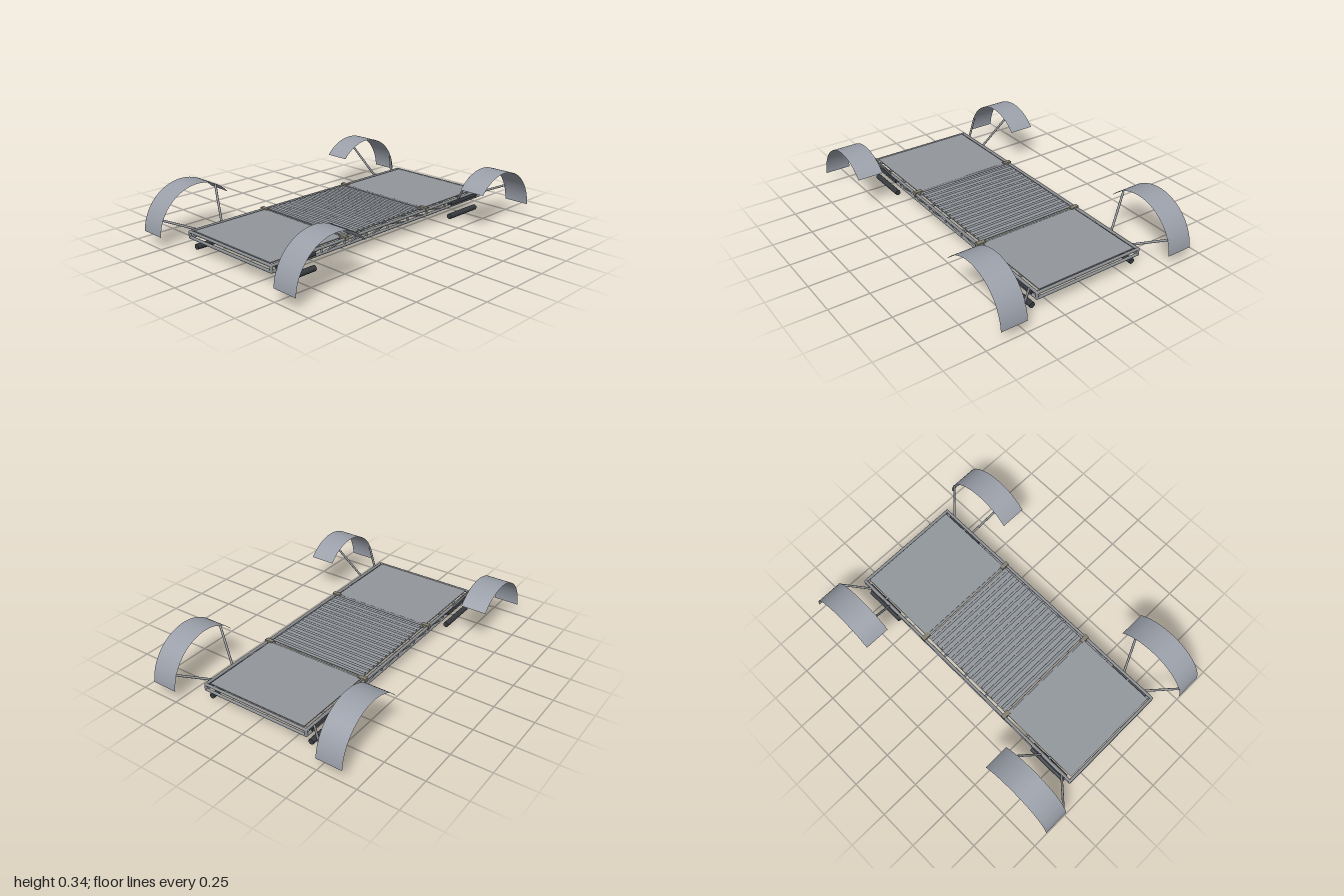
import * as THREE from 'three';

const mat = (name, color, side = THREE.FrontSide) => {
  const m = new THREE.MeshStandardMaterial({ color, side });
  m.name = name;
  return m;
};

export function createModel() {
  const steel = mat('frame steel', 0x8a8d91);
  const deck = mat('deck sheet', 0x92979c);
  const sheet = mat('fender sheet', 0x9a9fa9, THREE.DoubleSide);
  const dark = mat('dark rubber', 0x373a3f);
  const brass = mat('clamp metal', 0x858172);

  const root = new THREE.Group();
  root.name = 'flatbedChassis';

  const group = (name) => {
    const g = new THREE.Group();
    g.name = name;
    root.add(g);
    return g;
  };
  const add = (parent, name, geo, material, x = 0, y = 0, z = 0) => {
    const m = new THREE.Mesh(geo, material);
    m.name = name;
    m.position.set(x, y, z);
    parent.add(m);
    return m;
  };
  // round bar between two points
  const bar = (parent, name, a, b, r, material = steel) => {
    const p = new THREE.Vector3(...a), q = new THREE.Vector3(...b);
    const d = q.clone().sub(p);
    const m = add(parent, name, new THREE.CylinderGeometry(r, r, d.length(), 12), material);
    m.position.copy(p).add(q).multiplyScalar(0.5);
    m.quaternion.setFromUnitVectors(new THREE.Vector3(0, 1, 0), d.normalize());
    return m;
  };

  const X = 0.355, END = 0.893, TOP = 0.122, LOW = 0.088, R = 0.009;
  const BAYS = 10, bay = (2 * END) / BAYS;

  // Side trusses: two rails, posts and diagonals
  for (const s of [1, -1]) {
    const truss = group(s > 0 ? 'leftTruss' : 'rightTruss');
    for (const y of [TOP, LOW]) {
      bar(truss, 'rail', [s * X, y, -END], [s * X, y, END], R);
      for (const e of [1, -1]) add(truss, 'railCorner', new THREE.SphereGeometry(R, 12, 8), steel, s * X, y, e * END);
    }
    for (let i = 0; i <= BAYS; i++) {
      const z = -END + i * bay;
      bar(truss, 'post', [s * X, LOW, z], [s * X, TOP, z], i % BAYS ? 0.006 : R);
      if (i < BAYS) {
        const up = i < BAYS / 2;
        bar(truss, 'diagonal', [s * X, up ? LOW : TOP, z], [s * X, up ? TOP : LOW, z + bay], 0.005);
      }
    }
  }

  // Cross members under the deck
  const cross = group('crossMembers');
  for (let i = 0; i <= BAYS; i++) {
    const z = -END + i * bay;
    const end = i % BAYS === 0;
    bar(cross, 'crossTube', [-X, end ? TOP : 0.117, z], [X, end ? TOP : 0.117, z], end ? R : 0.008);
    if (end) bar(cross, 'endTube', [-X, LOW, z], [X, LOW, z], R);
  }

  // Flat decks at both ends, ribbed deck in the middle
  const decks = group('decks');
  for (const e of [1, -1]) {
    add(decks, 'flatDeck', new THREE.BoxGeometry(0.665, 0.006, 0.525), deck, 0, 0.127, e * 0.6175);
    bar(decks, 'deckEdgeTube', [-X, 0.124, e * 0.349], [X, 0.124, e * 0.349], 0.008);
  }
  add(decks, 'middleDeck', new THREE.BoxGeometry(0.665, 0.006, 0.665), deck, 0, 0.128, 0);
  for (let i = 0; i < 15; i++) {
    const z = (i - 7) * 0.0435;
    const rib = bar(decks, 'deckRib', [-0.327, 0.13, z], [0.327, 0.13, z], 0.008, deck);
    rib.name = 'deckRib' + (i + 1);
  }

  // Corner equipment: clamps, dark rollers, fenders and their struts
  const FR = 0.28, FY = 0.06, FZ = 0.72;
  const rad = THREE.MathUtils.degToRad;
  for (const s of [1, -1]) for (const e of [1, -1]) {
    const corner = group((e > 0 ? 'front' : 'rear') + (s > 0 ? 'Left' : 'Right') + 'Corner');

    add(corner, 'deckClamp', new THREE.BoxGeometry(0.054, 0.024, 0.026), brass, s * 0.34, 0.126, e * 0.349);

    bar(corner, 'lowerRoller', [s * X, 0.0175, e * 0.588], [s * X, 0.0175, e * 0.855], 0.0175, dark);
    bar(corner, 'upperRoller', [s * 0.352, 0.103, e * 0.588], [s * 0.352, 0.103, e * 0.855], 0.0165, dark);

    const start = e > 0 ? 3 : 41;
    const arc = new THREE.CylinderGeometry(FR, FR, 0.166, 32, 1, true, rad(start), rad(136));
    arc.rotateZ(Math.PI / 2);
    add(corner, 'fender', arc, sheet, s * 0.578, FY, e * FZ);

    bar(corner, 'tallStrut', [s * 0.36, 0.118, e * 0.665], [s * 0.498, 0.308, e * 0.597], 0.007);
    bar(corner, 'shortStrut', [s * 0.36, 0.115, e * 0.83], [s * 0.5, 0.172, e * 0.975], 0.007);
  }

  return root;
}
